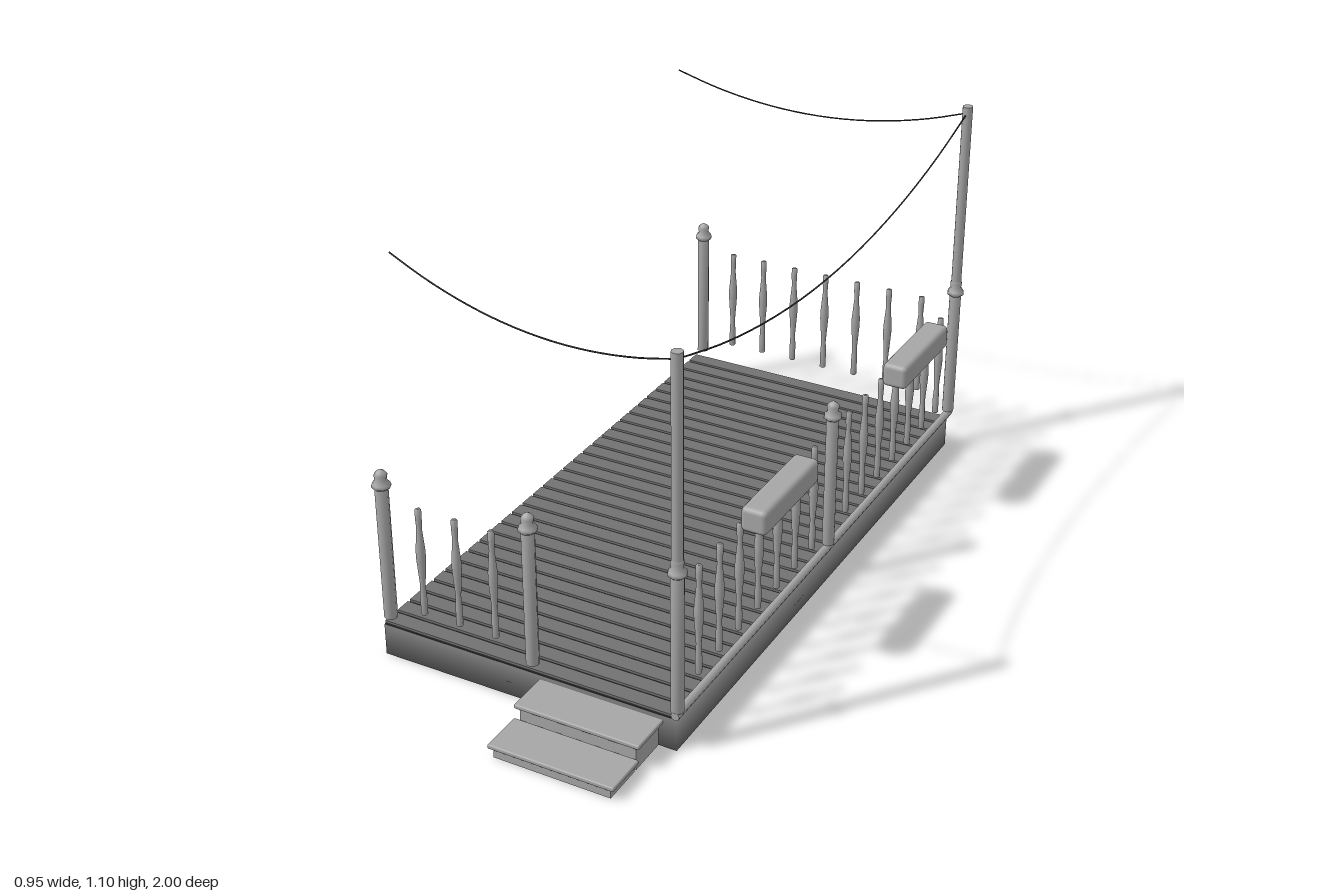
import * as THREE from 'three';
import { mergeVertices } from 'three/addons/utils/BufferGeometryUtils.js';
import { RoundedBoxGeometry } from 'three/addons/geometries/RoundedBoxGeometry.js';

const mat = (name, color, side = THREE.FrontSide) => {
  const m = new THREE.MeshStandardMaterial({ color, side });
  m.name = name;
  return m;
};

// Weld corners so that shading runs softly across the edges
function soften(geometry) {
  geometry.deleteAttribute('uv');
  geometry.deleteAttribute('normal');
  const welded = mergeVertices(geometry, 1e-4);
  welded.computeVertexNormals();
  return welded;
}

const lathe = (pts, sides) =>
  new THREE.LatheGeometry(pts.map(([r, y]) => new THREE.Vector2(r, y)), sides);

export function createModel() {
  const model = new THREE.Group();
  model.name = 'deck';
  const paint = mat('grey paint', 0xa6a6a6);
  const boards = mat('dark boards', 0x727272);
  const gaps = mat('board gaps', 0x363636);
  const wireMat = mat('wire', 0x333333);

  const add = (name, geometry, material, x = 0, y = 0, z = 0) => {
    const mesh = new THREE.Mesh(geometry, material);
    mesh.name = name;
    mesh.position.set(x, y, z);
    model.add(mesh);
    return mesh;
  };

  // Platform extents and post lines
  const left = -0.47, right = 0.395, front = 0.757, back = -0.97;
  const width = right - left, depth = front - back;
  const cx = (left + right) / 2, cz = (front + back) / 2;
  const postL = -0.45, postMid = -0.018, postR = 0.395;
  const postF = 0.752, postB = -0.975, postC = -0.111;

  // Base with a dark layer that shows between the boards
  add('base', soften(new THREE.BoxGeometry(width, 0.092, depth)), boards, cx, 0.046, cz);
  add('boardGaps', new THREE.BoxGeometry(width - 0.002, 0.003, depth - 0.002), gaps, cx, 0.0925, cz);

  // Floor boards
  const count = 31, pitch = depth / count;
  const boardGeo = new THREE.BoxGeometry(width, 0.009, pitch - 0.01);
  for (let i = 0; i < count; i++) {
    add('floorBoard', boardGeo, boards, cx, 0.0965, back + pitch * (i + 0.5));
  }

  // Bottom rail along the fenced long side
  const rail = add('bottomRail', new THREE.CylinderGeometry(0.012, 0.012, 1.752, 8), paint, right, 0.109, -0.11);
  rail.rotation.x = Math.PI / 2;

  // Posts with turned finials
  const postGeo = soften(new THREE.CylinderGeometry(0.018, 0.018, 0.392, 8));
  const finialGeo = lathe([[0.016, 0.505], [0.026, 0.513], [0.024, 0.522], [0.015, 0.532],
    [0.018, 0.547], [0.012, 0.555], [0, 0.563]], 8);
  const collarGeo = lathe([[0.016, 0.505], [0.026, 0.513], [0.024, 0.522], [0.016, 0.532],
    [0.018, 0.547], [0.0145, 0.557]], 8);
  const poleGeo = new THREE.CylinderGeometry(0.0155, 0.0155, 0.58, 8);
  const posts = [
    [postL, postF, false], [postMid, postF, false], [postR, postF, true],
    [postR, postC, false], [postR, postB, true], [postL, postB, false],
  ];
  for (const [x, z, tall] of posts) {
    add('post', postGeo, paint, x, 0.316, z);
    add(tall ? 'postCollar' : 'finial', tall ? collarGeo : finialGeo, paint, x, 0, z);
    if (tall) add('pole', poleGeo, paint, x, 0.81, z);
  }

  // Turned balusters, evenly spaced between pairs of posts
  const balusterGeo = lathe([[0, 0.163], [0.009, 0.163], [0.009, 0.21], [0.007, 0.25], [0.0125, 0.33],
    [0.0125, 0.355], [0.007, 0.42], [0.0085, 0.45], [0.0085, 0.476], [0, 0.476]], 6);
  const balusters = (x0, z0, x1, z1, n) => {
    for (let i = 1; i <= n; i++) {
      const t = i / (n + 1);
      add('baluster', balusterGeo, paint, x0 + (x1 - x0) * t, 0, z0 + (z1 - z0) * t);
    }
  };
  balusters(postL, postF, postMid, postF, 3);
  balusters(postR, postF, postR, postC, 7);
  balusters(postR, postC, postR, postB, 7);
  balusters(postL, postB, postR, postB, 7);

  // Flower boxes hung outside the long railing
  for (const z of [0.283, -0.583]) {
    add('flowerBox', new RoundedBoxGeometry(0.072, 0.07, 0.31, 3, 0.014), paint, 0.434, 0.494, z);
  }

  // Two steps, each a riser block under a tread
  for (const [z, top] of [[0.815, 0.08], [0.938, 0.04]]) {
    add('stepRiser', new THREE.BoxGeometry(0.33, top - 0.01, 0.115), paint, 0.179, (top - 0.01) / 2, z - 0.004);
    add('stepTread', new RoundedBoxGeometry(0.355, 0.013, 0.124, 2, 0.004), paint, 0.179, top - 0.0065, z);
  }

  // Sagging wires from the pole tops
  const wire = (a, b, sag) => {
    const pts = [];
    for (let i = 0; i <= 8; i++) {
      const t = i / 8;
      const p = new THREE.Vector3().lerpVectors(a, b, t);
      p.y -= 4 * sag * t * (1 - t);
      pts.push(p);
    }
    add('wire', new THREE.TubeGeometry(new THREE.CatmullRomCurve3(pts), 24, 0.0022, 5), wireMat);
  };
  const tipF = new THREE.Vector3(postR, 1.08, postF);
  const tipB = new THREE.Vector3(postR, 1.08, postB);
  wire(tipF, tipB, 0.135);
  wire(tipF, new THREE.Vector3(left, 1.1, 0.625), 0.077);
  wire(tipB, new THREE.Vector3(left, 1.1, -0.85), 0.077);

  return model;
}
